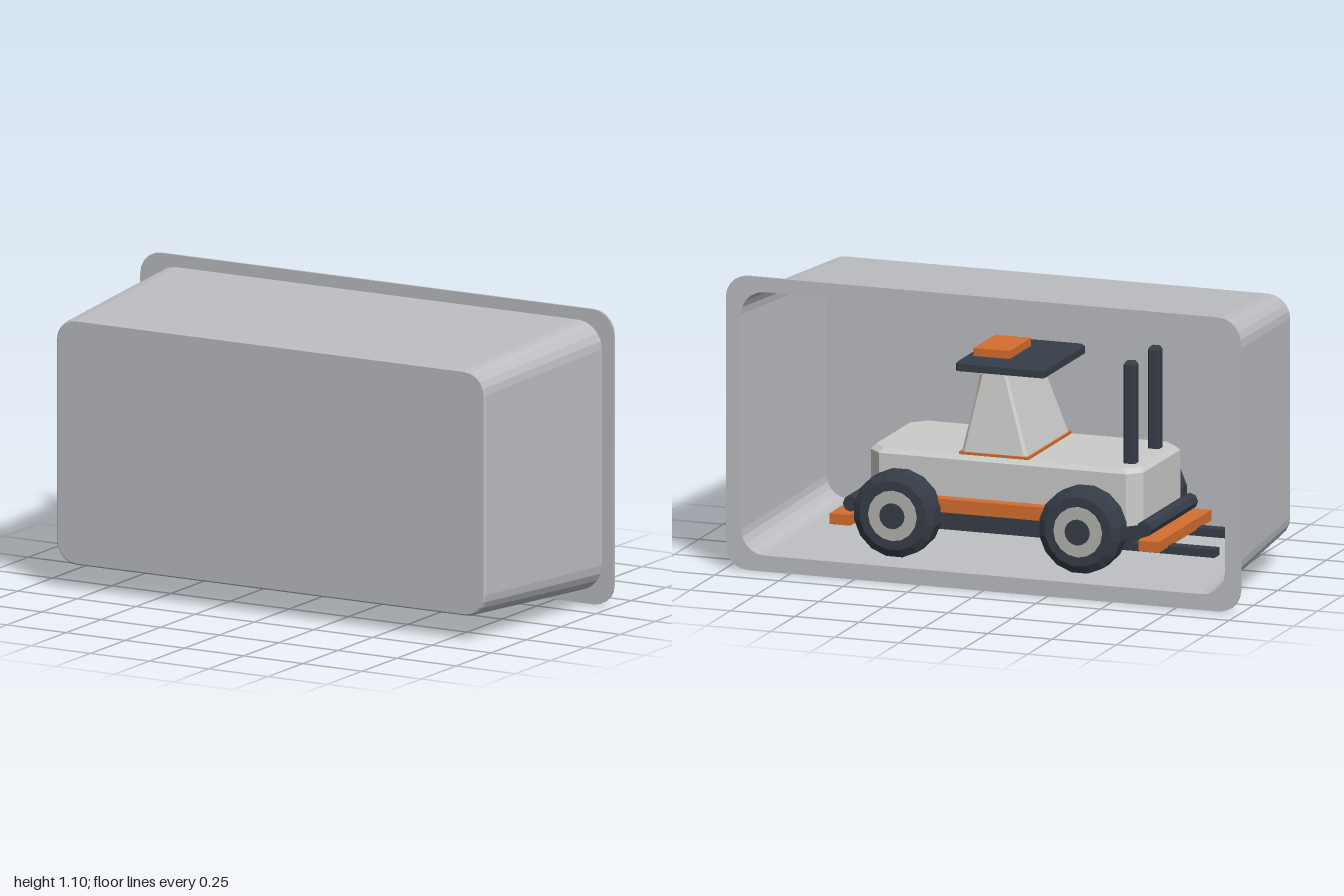
import * as THREE from 'three';

const mat = (name, color) => {
  const m = new THREE.MeshStandardMaterial({ color, flatShading: true });
  m.name = name;
  return m;
};

// Rounded rectangle ring, counter-clockwise
function ring({ w, h, r = 0, cx = 0, cy = 0, z }, seg) {
  const pts = [];
  for (let c = 0; c < 4; c++) {
    const sx = c === 0 || c === 3 ? 1 : -1, sy = c < 2 ? 1 : -1;
    for (let i = 0; i <= seg; i++) {
      const a = (c + i / seg) * Math.PI / 2;
      pts.push([cx + sx * (w / 2 - r) + r * Math.cos(a), cy + sy * (h / 2 - r) + r * Math.sin(a), z]);
    }
  }
  return pts;
}

// Skin through a list of rings, closed at both ends
function loft(rings, seg = 1) {
  const first = rings[0], last = rings[rings.length - 1];
  const all = [{ ...first, w: 0, h: 0, r: 0 }, ...rings, { ...last, w: 0, h: 0, r: 0 }].map(s => ring(s, seg));
  const pos = [], n = all[0].length;
  for (let k = 0; k < all.length - 1; k++) {
    for (let i = 0; i < n; i++) {
      const j = (i + 1) % n;
      const a = all[k][i], b = all[k][j], c = all[k + 1][j], d = all[k + 1][i];
      pos.push(...a, ...b, ...c, ...a, ...c, ...d);
    }
  }
  const g = new THREE.BufferGeometry();
  g.setAttribute('position', new THREE.Float32BufferAttribute(pos, 3));
  g.computeVertexNormals();
  return g;
}

// Same skin, stacked upwards (ring z becomes height)
const loftUp = (rings, seg) => loft(rings, seg).rotateX(-Math.PI / 2);

export function createModel() {
  const model = new THREE.Group();
  const grey = mat('trayGrey', 0xbcbec2);
  const pale = mat('bodyPaleGrey', 0xcbcbc9);
  const dark = mat('darkSlate', 0x363d48);
  const orange = mat('orange', 0xd56f2f);
  const rimGrey = mat('rimGrey', 0xb2b2ae);

  const add = (name, geo, material, x = 0, y = 0, z = 0, parent = model) => {
    const m = new THREE.Mesh(geo, material);
    m.name = name;
    m.position.set(x, y, z);
    parent.add(m);
    return m;
  };
  const box = (w, h, d) => new THREE.BoxGeometry(w, h, d);

  // Open tray: inside wall, flange, outside wall, front panel
  add('tray', loft([
    { w: 1.785, h: 0.89, r: 0.08, cy: 0.552, z: 0.37 },
    { w: 1.88, h: 0.985, r: 0.09, cy: 0.552, z: -0.385 },
    { w: 2, h: 1.1, r: 0.085, cy: 0.55, z: -0.385 },
    { w: 2, h: 1.1, r: 0.085, cy: 0.55, z: -0.376 },
    { w: 1.9, h: 1.005, r: 0.1, cy: 0.552, z: -0.376 },
    { w: 1.812, h: 0.915, r: 0.085, cy: 0.552, z: 0.378 },
    { w: 1.8, h: 0.903, r: 0.08, cy: 0.552, z: 0.385 },
  ], 5), grey);

  const truck = new THREE.Group();
  truck.name = 'truck';
  model.add(truck);
  const part = (name, geo, material, x, y, z) => add(name, geo, material, x, y, z, truck);

  // Body with bevelled top edge
  part('body', loftUp([
    { w: 1.06, h: 0.48, r: 0.05, cx: -0.02, z: 0.25 },
    { w: 1.06, h: 0.48, r: 0.05, cx: -0.02, z: 0.445 },
    { w: 1.03, h: 0.45, r: 0.05, cx: -0.02, z: 0.462 },
  ]), pale);
  part('underbody', box(1, 0.09, 0.4), dark, 0, 0.215, 0);

  // Cabin
  part('cabinTrim', box(0.27, 0.012, 0.445), orange, 0.02, 0.466, 0);
  part('cabin', loftUp([
    { w: 0.26, h: 0.44, r: 0.012, cx: 0.02, z: 0.465 },
    { w: 0.09, h: 0.34, r: 0.008, cx: 0.04, z: 0.775 },
  ]), pale);
  const screen = part('windscreen', box(0.008, 0.26, 0.32), orange, 0.119, 0.62, 0);
  screen.rotation.z = Math.atan2(0.065, 0.31);
  part('roof', loftUp([
    { w: 0.345, h: 0.43, r: 0.008, z: 0.77 },
    { w: 0.345, h: 0.43, r: 0.008, z: 0.797 },
    { w: 0.33, h: 0.415, r: 0.008, z: 0.805 },
  ]), dark);
  part('roofHatch', box(0.14, 0.03, 0.22), orange, 0.07, 0.82, 0);

  // Wheels: bevelled tyre, rim and hub
  const tyre = new THREE.LatheGeometry([
    [0, -0.052], [0.13, -0.052], [0.16, -0.034], [0.16, 0.034], [0.13, 0.052], [0, 0.052],
  ].map(p => new THREE.Vector2(...p)), 16, Math.PI / 16).rotateX(Math.PI / 2);
  const disc = (r, d) => new THREE.CylinderGeometry(r, r, d, 16).rotateX(Math.PI / 2);
  for (const sx of [-1, 1]) {
    for (const sz of [-1, 1]) {
      const wheel = new THREE.Group();
      wheel.name = 'wheel';
      wheel.position.set(sx * 0.36, 0.245, sz * 0.31);
      truck.add(wheel);
      add('tyre', tyre, dark, 0, 0, 0, wheel);
      add('rim', disc(0.094, 0.02), rimGrey, 0, 0, sz * 0.047, wheel);
      add('hub', disc(0.048, 0.02), dark, 0, 0, sz * 0.053, wheel);
    }
    const axle = part('axle', new THREE.CylinderGeometry(0.03, 0.03, 0.6, 8), dark, sx * 0.36, 0.245, 0);
    axle.rotation.x = Math.PI / 2;

    // Bumpers at each end
    part('bumperPlate', box(0.08, 0.04, 0.54), orange, sx * 0.6, 0.19, 0);
    const bar = part('bumperBar', new THREE.CylinderGeometry(0.03, 0.03, 0.48, 8), dark, sx * 0.57, 0.245, 0);
    bar.rotation.x = Math.PI / 2;
  }

  for (const sz of [-1, 1]) {
    // Side sills, mast posts and forks
    part('sideSill', box(0.56, 0.05, 0.05), orange, 0, 0.28, sz * 0.262);
    part('mastPost', loftUp([
      { w: 0.045, h: 0.045, r: 0.006, z: 0.44 },
      { w: 0.045, h: 0.045, r: 0.006, z: 0.83 },
      { w: 0.03, h: 0.03, r: 0.004, z: 0.842 },
    ]), dark, -0.477, 0, sz * 0.125);
    part('fork', box(0.38, 0.03, 0.05), dark, -0.63, 0.16, sz * 0.15);
  }
  return model;
}
